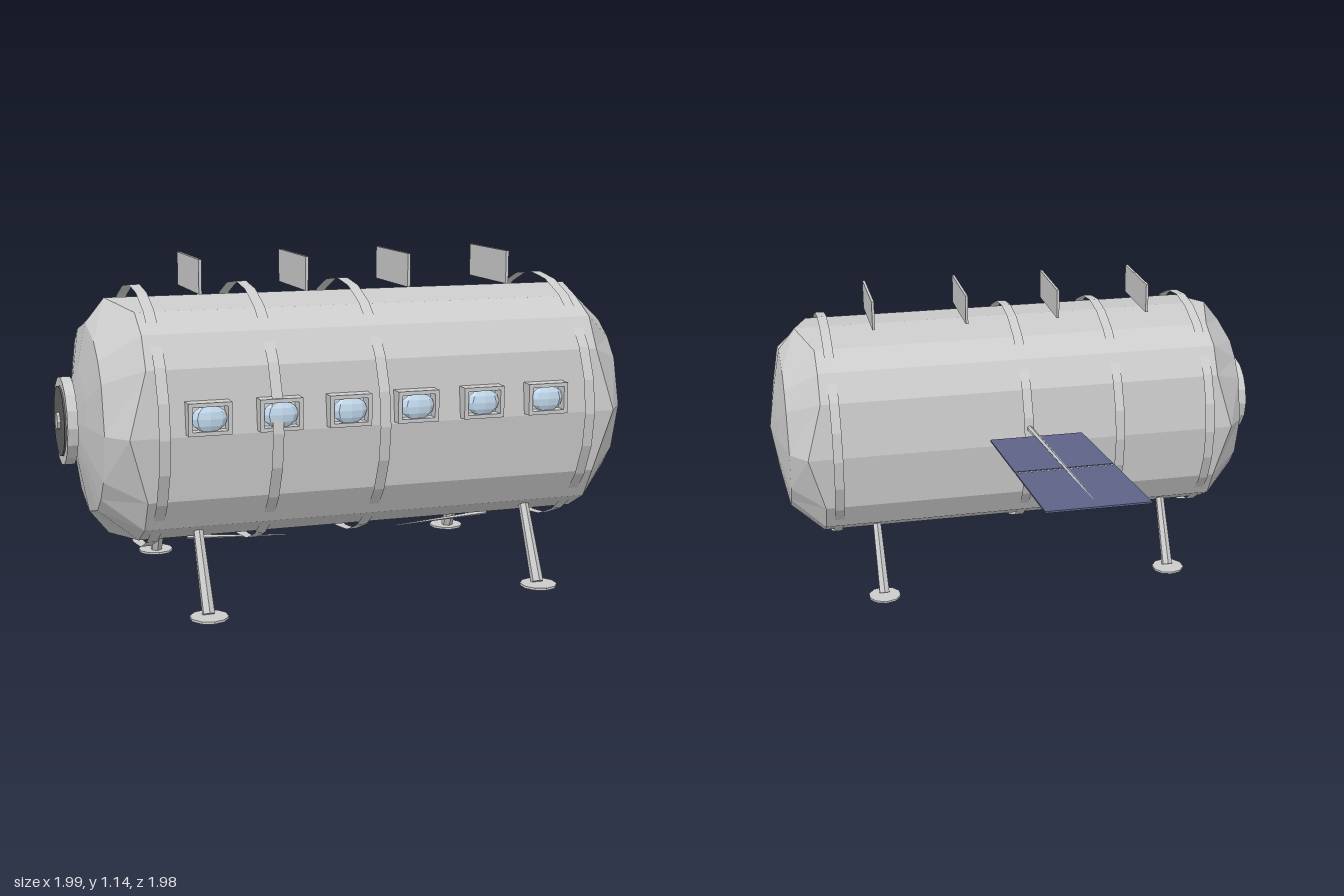
import * as THREE from 'three';

const CY = 0.615, CZ = 0.52; // hull axis
const paint = (color) => new THREE.MeshStandardMaterial({ color, flatShading: true, side: THREE.DoubleSide });
const grey = paint(0xcccccc), navy = paint(0x60658a), glassBlue = paint(0xc4dcf0), dark = paint(0x606060);

function add(parent, name, geometry, material = grey, x = 0, y = 0, z = 0) {
  const mesh = new THREE.Mesh(geometry, material);
  mesh.name = name;
  mesh.position.set(x, y, z);
  parent.add(mesh);
  return mesh;
}

// Tapered rod between two points
function rod(parent, name, from, to, r0, r1, sides = 6) {
  const a = new THREE.Vector3(...from), b = new THREE.Vector3(...to);
  const dir = b.clone().sub(a);
  const mesh = add(parent, name, new THREE.CylinderGeometry(r1, r0, dir.length(), sides));
  mesh.position.copy(a).add(b).multiplyScalar(0.5);
  mesh.quaternion.setFromUnitVectors(new THREE.Vector3(0, 1, 0), dir.normalize());
  return mesh;
}

// Disc or band whose axis runs along x
function xDisc(r, depth, sides, open = false, rIn = r) {
  return new THREE.CylinderGeometry(rIn, r, depth, sides, 1, open).rotateZ(Math.PI / 2);
}

// Hull: sixteen-sided rounded-square section lofted along x, with faceted domes
function hullGeometry() {
  const section = [];
  const quadrant = [[0.406, 0], [0.38, 0.215], [0.32, 0.32], [0.215, 0.38]];
  for (let q = 0; q < 4; q++) {
    const c = [1, 0, -1, 0][q], s = [0, 1, 0, -1][q];
    for (const [y, z] of quadrant) section.push([y * c - z * s, y * s + z * c]);
  }
  const n = section.length;
  const rim = (j) => (j % 4 === 0 ? 0.85 : 0.79); // wavy seam between wall and dome
  const loops = [[-0.97, 0], [-0.945, 0.42], [-0.915, 0.8], [null, 1, -1], [null, 1, 1], [0.915, 0.8], [0.945, 0.42], [0.97, 0]];
  const positions = [], index = [];
  loops.forEach(([x, scale, side], i) => {
    section.forEach(([y, z], j) => {
      const round = scale < 1 ? 0.406 / Math.hypot(y, z) : 1;
      positions.push(0.02 + (x === null ? rim(j) * side : x), CY + y * scale * round, CZ + z * scale * round);
      if (i === loops.length - 1) return;
      const a = i * n + j, b = i * n + (j + 1) % n;
      if (i > 0) index.push(a, b, a + n);
      if (i < loops.length - 2) index.push(b, b + n, a + n);
    });
  });
  // Close the first dome tip
  for (let j = 0; j < n; j++) index.push(j, n + (j + 1) % n, n + j);
  const g = new THREE.BufferGeometry();
  g.setAttribute('position', new THREE.Float32BufferAttribute(positions, 3));
  g.setIndex(index);
  g.computeVertexNormals();
  return g;
}

// Window frame with an opening
function frameGeometry() {
  const rect = (S, w, h) => new S([[-w, -h], [w, -h], [w, h], [-w, h]].map(([x, y]) => new THREE.Vector2(x, y)));
  const shape = rect(THREE.Shape, 0.072, 0.053);
  shape.holes.push(rect(THREE.Path, 0.058, 0.04));
  return new THREE.ExtrudeGeometry(shape, {
    depth: 0.075, bevelEnabled: false,
  });
}

export function createModel() {
  const model = new THREE.Group();
  model.name = 'habitatModule';
  add(model, 'hull', hullGeometry());

  // Hoops around the hull
  for (const x of [-0.726, -0.354, 0.013, 0.758]) {
    add(model, 'hoop', xDisc(0.447, 0.037, 24, true), grey, x, CY, CZ);
  }

  // Row of windows
  const frame = frameGeometry();
  const pane = new THREE.SphereGeometry(1, 8, 6).scale(0.06, 0.045, 0.02);
  for (let i = 0; i < 6; i++) {
    const win = new THREE.Group();
    win.name = 'window';
    win.position.set(-0.577 + i * 0.236, 0.675, 0.885);
    add(win, 'windowFrame', frame);
    add(win, 'windowGlass', pane, glassBlue, 0, 0, 0.06);
    model.add(win);
  }

  // Radiator fins above the hull
  for (let i = 0; i < 4; i++) {
    add(model, 'radiatorFin', new THREE.BoxGeometry(0.01, 0.115, 0.31), grey, -0.537 + i * 0.369, 1.097, 0.525);
  }

  // Splayed legs with disc feet
  for (const x of [-0.58, 0.6]) {
    for (const side of [-1, 1]) {
      rod(model, 'leg', [x, 0.02, CZ + side * 0.4], [x + (x > 0 ? 0.005 : 0), 0.3, CZ + side * 0.25], 0.022, 0.017);
      add(model, 'foot', new THREE.CylinderGeometry(0.064, 0.064, 0.008, 10), grey, x, 0.014, CZ + side * 0.41);
    }
  }

  // Slender braces below the hull
  for (const side of [-1, 1]) {
    rod(model, 'brace', [0.015 + side * 0.57, 0.17, CZ], [0.015 + side * 0.21, 0.148, CZ], 0.008, 0.002, 4);
  }

  // Hatch on the right end
  const hatch = new THREE.Group();
  hatch.name = 'hatch';
  hatch.position.set(0, CY - 0.005, CZ);
  add(hatch, 'hatchRim', xDisc(0.15, 0.035, 16), grey, -0.967);
  add(hatch, 'hatchDoor', xDisc(0.12, 0.012, 16), dark, -0.984);
  add(hatch, 'hatchHub', xDisc(0.03, 0.012, 8), grey, -0.994);
  model.add(hatch);

  // Solar wing: boom and two tilted panels behind the hull
  const wing = new THREE.Group();
  wing.name = 'solarWing';
  const height = (z) => 0.7 - 0.126 * z;
  rod(wing, 'boom', [0.01, height(0.14), 0.14], [0.01, height(-0.9), -0.9], 0.012, 0.004);
  for (const [z0, z1] of [[-0.048, -0.507], [-0.523, -0.985]]) {
    const z = (z0 + z1) / 2;
    const panel = add(wing, 'solarPanel', new THREE.BoxGeometry(0.357, 0.006, (z0 - z1) * 1.007), navy, 0.014, height(z), z);
    panel.rotation.x = Math.atan(0.126);
  }
  add(wing, 'panelHinge', new THREE.BoxGeometry(0.357, 0.004, 0.006), grey, 0.014, height(-0.515), -0.515);
  model.add(wing);
  return model;
}
